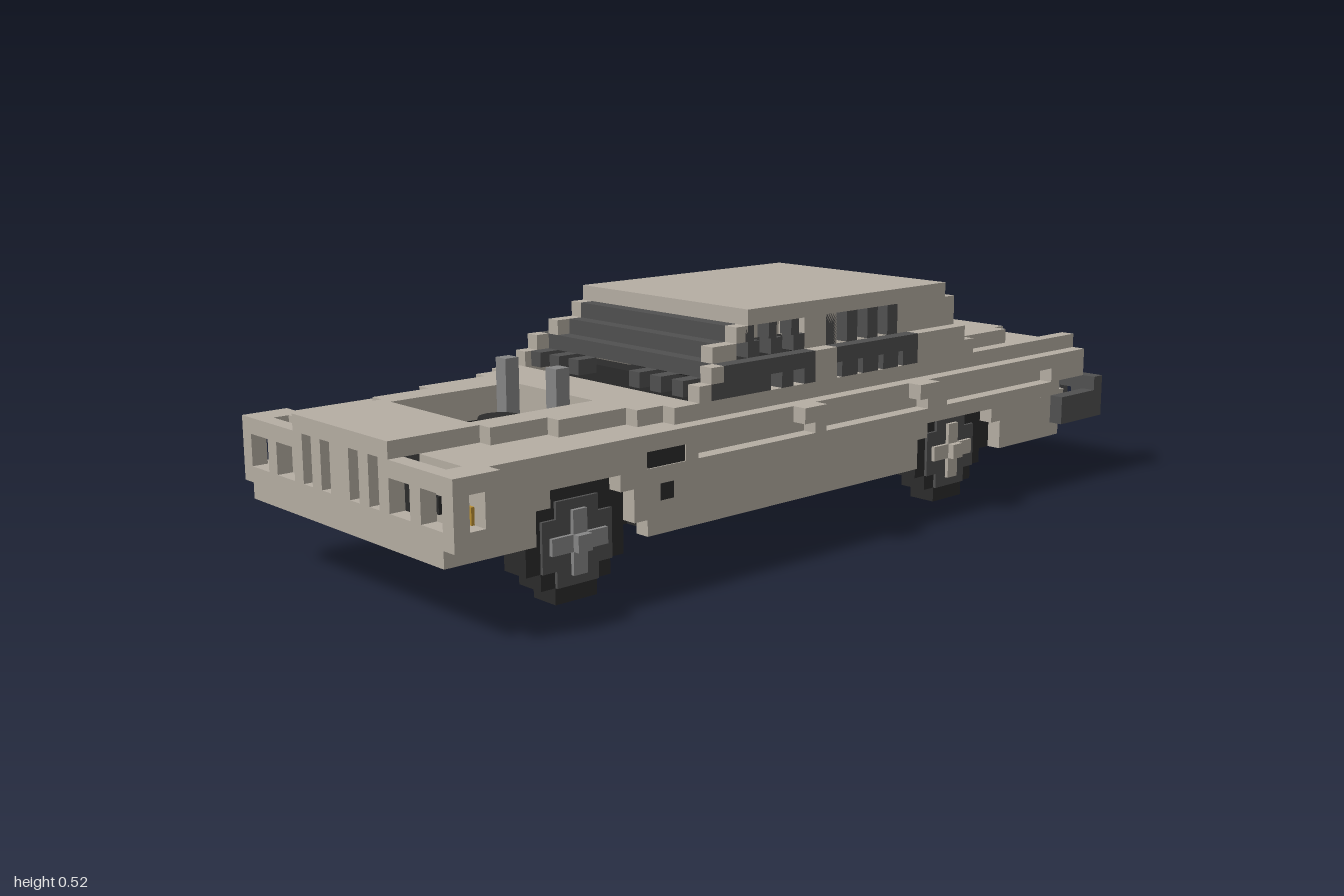
import * as THREE from 'three';
import { mergeGeometries } from 'three/addons/utils/BufferGeometryUtils.js';

const U = 2 / 58; // one block

const mat = (name, color) => {
  const m = new THREE.MeshStandardMaterial({ color });
  m.name = name;
  return m;
};

// Box from block coordinates [x0, x1, y0, y1, z0, z1]
function block([x0, x1, y0, y1, z0, z1]) {
  const g = new THREE.BoxGeometry((x1 - x0) * U, (y1 - y0) * U, (z1 - z0) * U);
  return g.translate((x0 + x1) / 2 * U, (y0 + y1) / 2 * U, (z0 + z1) / 2 * U);
}
const flip = ([x0, x1, ...rest]) => [-x1, -x0, ...rest];
const both = (list) => [...list, ...list.map(flip)];

export function createModel() {
  const beige = mat('beige paint', 0xb5aea3);
  const black = mat('black rubber', 0x2b2b2b);
  const dark = mat('dark trim', 0x505050);
  const grey = mat('grey metal', 0x868686);
  const amber = mat('amber lamp', 0xba9034);

  const car = new THREE.Group();
  car.name = 'car';
  const part = (name, material, boxes) => {
    const mesh = new THREE.Mesh(mergeGeometries(boxes.map(block)), material);
    mesh.name = name;
    car.add(mesh);
    return mesh;
  };

  // Body sides: spans of z for each block row, leaving arches and grooves
  const rows = {
    3: [[-25, -18], [-9, 15]],
    4: [[-25, -18], [-9, 16], [23, 28]],
    5: [[-25, -17], [-10, 16], [23, 28]],
    6: [[-25, 17], [22, 27]],
    7: [[-28, -24], [-12, -10], [0, 1], [11, 12], [15, 27]],
    8: [[-28, 28]],
  };
  const sides = [[8, 9, 7, 8, -25, 27], [8, 9, 9, 10, -28, 11], [8, 9, 7, 9, -28, -25]];
  for (const y in rows) for (const [a, b] of rows[y]) sides.push([9, 10, +y, +y + 1, a, b]);
  part('bodySides', beige, both(sides));
  part('sideVents', black, both([[9, 9.9, 7, 8, 12, 15], [9.8, 10.05, 5, 6, 13, 14]]));
  part('doorHandles', beige, both([[10, 11, 8, 9, 1, 3], [10, 11, 8, 9, -10, -8]]));

  // Hood with an opening, stepped narrower toward the nose
  part('hood', beige, [
    [-9, 9, 9, 10, 10, 12], [-8, 8, 9, 10, 12, 14],
    ...both([[4, 7, 9, 10, 14, 19], [4, 6, 9, 10, 19, 23]]),
    [-5, 5, 9, 10, 23, 29],
    ...both([[4, 9, 8, 9, 14, 23], [5, 9, 8, 9, 23, 27]]),
    [-9, 9, 8, 9, 9, 14],
  ]);
  part('engineBayWalls', black, [...both([[4, 5, 4, 8, 14, 23]]), [-5, 5, 4, 8, 13, 14], [-5, 5, 4, 8, 23, 24]]);

  // Front panel with lamp pockets and grille slots
  const outline = new THREE.Shape(
    [[-11, 9], [-11, 5], [-10, 5], [-10, 4], [10, 4], [10, 5], [11, 5], [11, 9]]
      .map(([x, y]) => new THREE.Vector2(x * U, y * U)));
  const holes = both([[8, 10, 6, 8], [5, 7, 6, 8], [3, 4, 6, 8.98], [1, 2, 6, 8.98]]);
  for (const [a, b, c, d] of holes) {
    outline.holes.push(new THREE.Path([[a, c], [a, d], [b, d], [b, c]]
      .map(([x, y]) => new THREE.Vector2(x * U, y * U))));
  }
  const panelGeo = new THREE.ExtrudeGeometry(outline, { depth: U, bevelEnabled: false });
  const panel = new THREE.Mesh(panelGeo.translate(0, 0, 28 * U), beige);
  panel.name = 'frontPanel';
  car.add(panel);
  part('frontCorners', beige, both([
    [10, 11, 5, 9, 26, 27], [10, 11, 5, 6, 27, 28], [10, 11, 8, 9, 27, 28],
    [5, 10, 5, 9, 26, 27],
  ]));
  part('grilleBacking', black, [[-5, 5, 5, 9, 26, 27], ...both([[5, 10, 4.5, 5.2, 27, 28]])]);
  part('headlamps', amber, [
    ...both([[9, 10, 6, 7, 27, 27.2], [5, 6, 6, 7, 27, 27.2]]), [-7, -6, 6, 7, 27, 27.2],
  ]);
  part('lampSockets', black, [[-7, -6, 7, 8, 27, 27.2], [6, 7, 6, 7, 27, 27.2]]);

  // Underside, axles and drive shaft
  part('floor', black, [
    [-9, 9, 3, 4, -25, 14], [-7, 7, 4, 5, 23, 28],
    ...both([[4, 7, 3, 4, 14, 23], [5, 9, 4, 5, 23, 28]]),
  ]);
  part('axles', black, [
    [-7, 7, 2.8, 4, -14, -13], [-6, 6, 2, 3, -15, -12], [-1, 1, 1, 3, -15, -12],
    [-6, 6, 2, 3, 19, 20], [-8, 8, 3, 4, 18, 21],
    [-0.5, 0.5, 2.4, 3.2, -13, 15], ...both([[3, 4, 2.5, 3.1, -12, 13]]),
  ]);
  part('oilPan', grey, [[-1, 1, 3, 4, 20, 21.5], [-2.5, 2.5, 2.7, 4, 14.5, 19]]);

  // Engine and its upright stacks
  part('engineBlock', grey, [[-2, 2, 4, 8, 15, 21], [-3, 3, 4, 6.5, 15.5, 20.5], ...both([[2, 3, 4, 12, 15, 16]])]);
  part('engineTrim', dark, [
    ...both([[3, 4, 4, 7, 16, 21], [1.5, 2.5, 7, 7.6, 16.5, 20]]),
    [-1.5, 1.5, 7.8, 8.3, 16.5, 19.5], [-2.5, 2.5, 5, 8, 21.8, 22.6],
  ]);
  const cleaner = new THREE.Mesh(new THREE.CylinderGeometry(1.3 * U, 1.3 * U, U, 12), black);
  cleaner.name = 'airCleaner';
  cleaner.position.set(0, 8.5 * U, 18 * U);
  car.add(cleaner);

  // Block wheels: width of each row from the ground up
  const wheel = (name, zc, widths, hubMat, crossMat) => {
    part(name + 'Tyres', black, both(widths.map((w, y) => [7, 9, y, y + 1, zc - w / 2, zc + w / 2])));
    part(name + 'Rims', hubMat, both([[9, 9.2, 2, 5, zc - 2.5, zc + 2.5], [9, 9.2, 1, 6, zc - 1.5, zc + 1.5]]));
    part(name + 'Hubs', crossMat, both([
      [9.2, 9.45, 3, 4, zc - 2, zc + 2], [9.2, 9.45, 1.6, 5.4, zc - 0.5, zc + 0.5],
      [9.4, 9.9, 3, 4, zc - 0.5, zc + 0.5],
    ]));
  };
  wheel('front', 19.5, [3, 5, 7, 7, 7, 7, 5], dark, grey);
  wheel('rear', -13.5, [3, 5, 7, 9, 9, 7], dark, beige);
  part('archLiners', black, both([[6, 7, 4, 8, 15, 24], [6, 7, 4, 8, -19, -8], [7, 9, 6, 7, -18, -9]]));

  // Cabin roof and stepped pillars
  part('roof', beige, [[-8, 8, 14, 15, -14, 5]]);
  part('pillars', beige, both([
    [7, 8, 13, 14, 5, 6], [7, 8, 12, 13, 6, 8], [8, 9, 11, 12, 8, 9], [8, 9, 10, 11, 9, 10],
    [8, 9, 10, 12, -2, 0], [7, 8, 12, 14, -3, 0],
    [8, 9, 10, 12, -15, -10], [7, 8, 12, 13, -15, -9], [7, 8, 13, 14, -15, -9],
    [6, 7, 12, 14, -15, -14],
  ]));
  part('rearShelf', beige, [[-8, 8, 10, 12, -15, -14], [-9, 9, 10, 11, -16, -15]]);
  part('rearWindow', dark, [[-6, 6, 12, 14, -15, -14.3]]);

  // Windshield rows and side window lattice
  const glass = [[-8, 8, 11, 12, 7, 8], [-7, 7, 12, 13, 6, 7], [-7, 7, 13, 14, 5, 6]];
  for (let x = -8; x < 8; x += 2) if (Math.abs(x + 0.5) > 2) glass.push([x, x + 1, 10, 11, 8, 9.5]);
  part('windshield', dark, glass);
  const lattice = [[8, 9, 11, 12, 0, 8], [8, 9, 10, 11, 5, 9], [8, 9, 11, 12, -10, -2]];
  for (const z of [0, 2, 4]) lattice.push([8, 9, 10, 11, z, z + 1], [7, 8, 12, 13, z, z + 1], [7, 8, 13, 14, z + 0.5, z + 1.2]);
  for (const z of [-10, -8, -6, -4]) lattice.push([8, 9, 10, 11, z, z + 1.5], [7, 8, 12, 14, z + 1, z + 2]);
  part('sideWindows', dark, both(lattice));

  // Interior floor, seats and dashboard
  part('cabinFloor', black, [[-8, 8, 8, 9, -15, 10]]);
  part('seats', black, both([[2, 6, 9, 10, -2, 2], [2, 6, 9, 11, -3, -2], [1, 6, 9, 10, -12, -8]]));
  part('dashboard', black, [[-8, 8, 9, 10.4, 6, 7.5]]);

  // Trunk and rear end
  part('trunk', beige, [
    [-8, 8, 9, 10, -25, -14], [-8, 8, 10, 11, -21, -15], [-7, 7, 10, 11, -22, -21],
    [-9, 9, 4, 9, -25, -24], [-9, 9, 4, 6, -27, -25], [-3, 3, 6.3, 7.8, -25.2, -25],
  ]);
  const bumper = [[-11, 11, 6, 7, -29, -28], ...both([[10, 11, 4, 6, -28, -24], [9, 11, 4, 6, -29, -28]])];
  for (let i = 0; i < 6; i++) bumper.push([-8 + i * 3, -7 + i * 3, 4, 6, -29, -28]);
  part('rearBumper', dark, bumper);

  return car;
}
